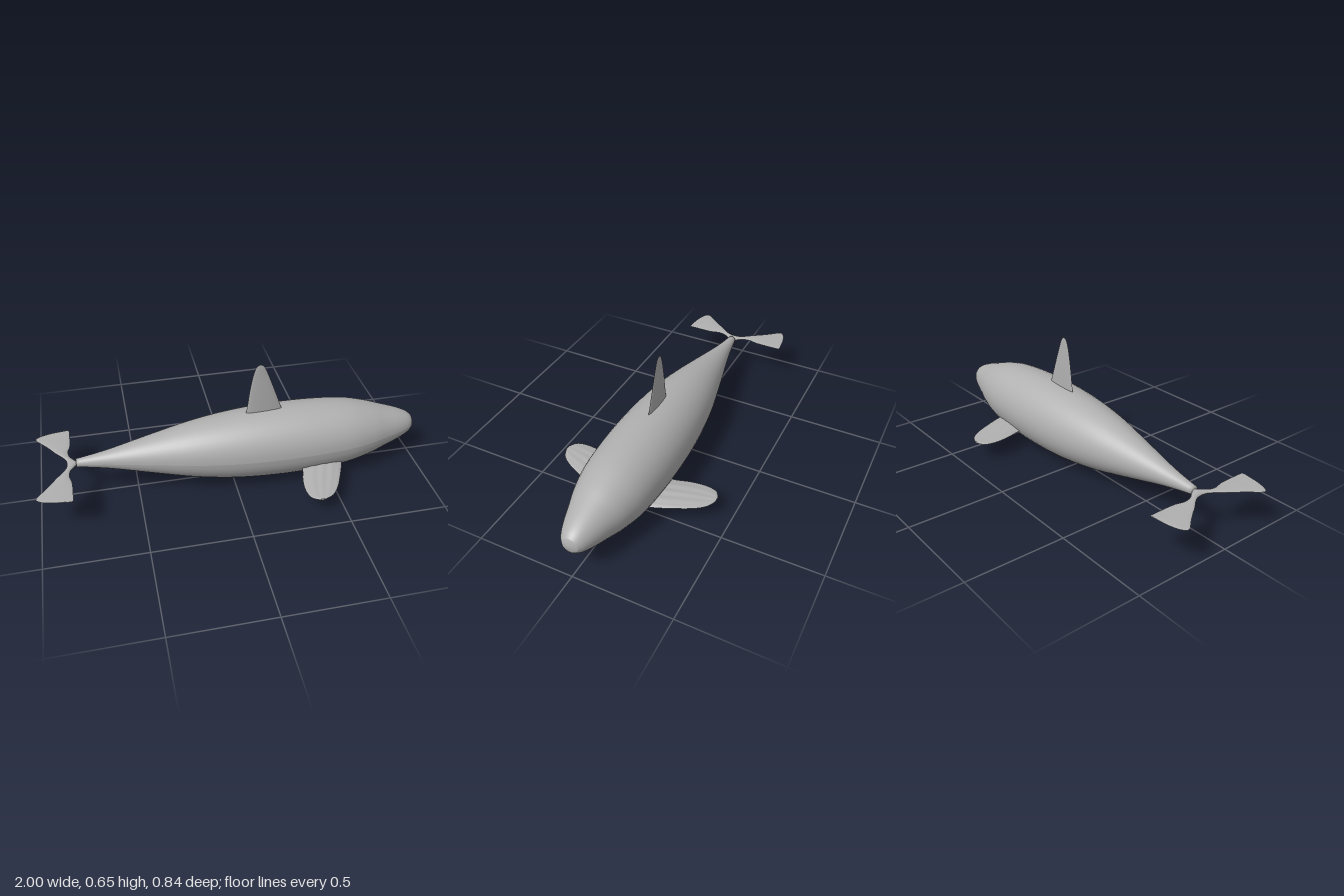
import * as THREE from 'three';

const grey = new THREE.MeshStandardMaterial({ color: 0xb0b0b0, side: THREE.DoubleSide });
grey.name = 'grey';

// Round body along x, with the tail end lifted slightly
function bodyGeometry() {
  const profile = new THREE.SplineCurve([
    [0.021, -0.8], [0.037, -0.7], [0.057, -0.6], [0.104, -0.4], [0.148, -0.2], [0.177, 0],
    [0.19, 0.2], [0.19, 0.4], [0.176, 0.6], [0.148, 0.73], [0.118, 0.82], [0.087, 0.91],
    [0.062, 0.965], [0.04, 0.992],
  ].map(([r, x]) => new THREE.Vector2(r, x)));
  const points = [new THREE.Vector2(0, -0.8), ...profile.getPoints(60),
    new THREE.Vector2(0.022, 0.998), new THREE.Vector2(0, 1)];
  const geo = new THREE.LatheGeometry(points, 40);
  geo.rotateZ(-Math.PI / 2);
  const p = geo.attributes.position;
  for (let i = 0; i < p.count; i++) {
    const tail = Math.max(0, -p.getX(i)) / 0.8;
    p.setY(i, p.getY(i) + 0.194 + 0.009 * tail);
  }
  geo.computeVertexNormals();
  return geo;
}

// Fin lofted from stations [span, back x, front x, half thickness];
// place(x, span, height) turns a fin point into model space
function finGeometry(stations, place, flip, ribs = 0) {
  const curve = (k) => new THREE.SplineCurve(stations.map((s) => new THREE.Vector2(s[0], s[k])));
  const curves = [curve(1), curve(2), curve(3)];
  const rows = stations.length * 3, cols = 18;
  const pos = [], index = [];
  for (const side of [1, -1]) {
    const start = pos.length / 3;
    for (let i = 0; i <= rows; i++) {
      const [back, front, thick] = curves.map((c) => c.getPoint(i / rows));
      for (let j = 0; j <= cols; j++) {
        const u = j / cols;
        const rib = 1 - ribs * (0.5 - 0.5 * Math.cos(u * Math.PI * 8));
        const h = side * thick.y * Math.sqrt(Math.max(0, Math.sin(Math.PI * u))) * rib;
        pos.push(...place(THREE.MathUtils.lerp(back.y, front.y, u), back.x, h));
        if (i === rows || j === cols) continue;
        const a = start + i * (cols + 1) + j, b = a + 1, c = a + cols + 1, d = c + 1;
        if ((side > 0) !== flip) index.push(a, b, c, b, d, c);
        else index.push(a, c, b, b, c, d);
      }
    }
  }
  const geo = new THREE.BufferGeometry();
  geo.setAttribute('position', new THREE.Float32BufferAttribute(pos, 3));
  geo.setIndex(index);
  geo.computeVertexNormals();
  return geo;
}

const DORSAL = [
  [0.35, 0.07, 0.275, 0.01], [0.42, 0.082, 0.25, 0.009], [0.5, 0.092, 0.222, 0.007],
  [0.58, 0.106, 0.193, 0.004], [0.625, 0.118, 0.175, 0.003], [0.645, 0.128, 0.164, 0.002],
  [0.655, 0.143, 0.15, 0.001],
];
const PECTORAL = [
  [0.1, 0.345, 0.575, 0.022], [0.18, 0.338, 0.55, 0.018], [0.25, 0.318, 0.52, 0.014],
  [0.32, 0.308, 0.487, 0.01], [0.37, 0.312, 0.456, 0.007], [0.4, 0.326, 0.426, 0.006],
  [0.418, 0.357, 0.387, 0.004],
];
const FLUKE = [
  [0, -0.845, -0.79, 0.012], [0.03, -0.85, -0.812, 0.009], [0.06, -0.868, -0.832, 0.006],
  [0.1, -0.9, -0.838, 0.005], [0.14, -0.927, -0.828, 0.004], [0.18, -0.957, -0.825, 0.004],
  [0.235, -0.999, -0.825, 0.003], [0.262, -0.98, -0.825, 0.003], [0.28, -0.925, -0.825, 0.002],
  [0.288, -0.86, -0.825, 0.002],
];

export function createModel() {
  const model = new THREE.Group();
  model.name = 'seaAnimal';
  const add = (name, geo) => {
    const mesh = new THREE.Mesh(geo, grey);
    mesh.name = name;
    model.add(mesh);
  };

  add('body', bodyGeometry());
  add('dorsalFin', finGeometry(DORSAL, (x, s, h) => [x, s, h], false));

  // Paired side fins and tail flukes
  for (const [label, m] of [['front', 1], ['back', -1]]) {
    add(label + 'SideFin', finGeometry(PECTORAL, (x, s, h) => [x, 0.099 + h, m * s], m > 0, 0.25));
    add(label + 'TailFluke', finGeometry(FLUKE, (x, s, h) => [x, 0.201 + h, m * s], m > 0));
  }
  return model;
}
